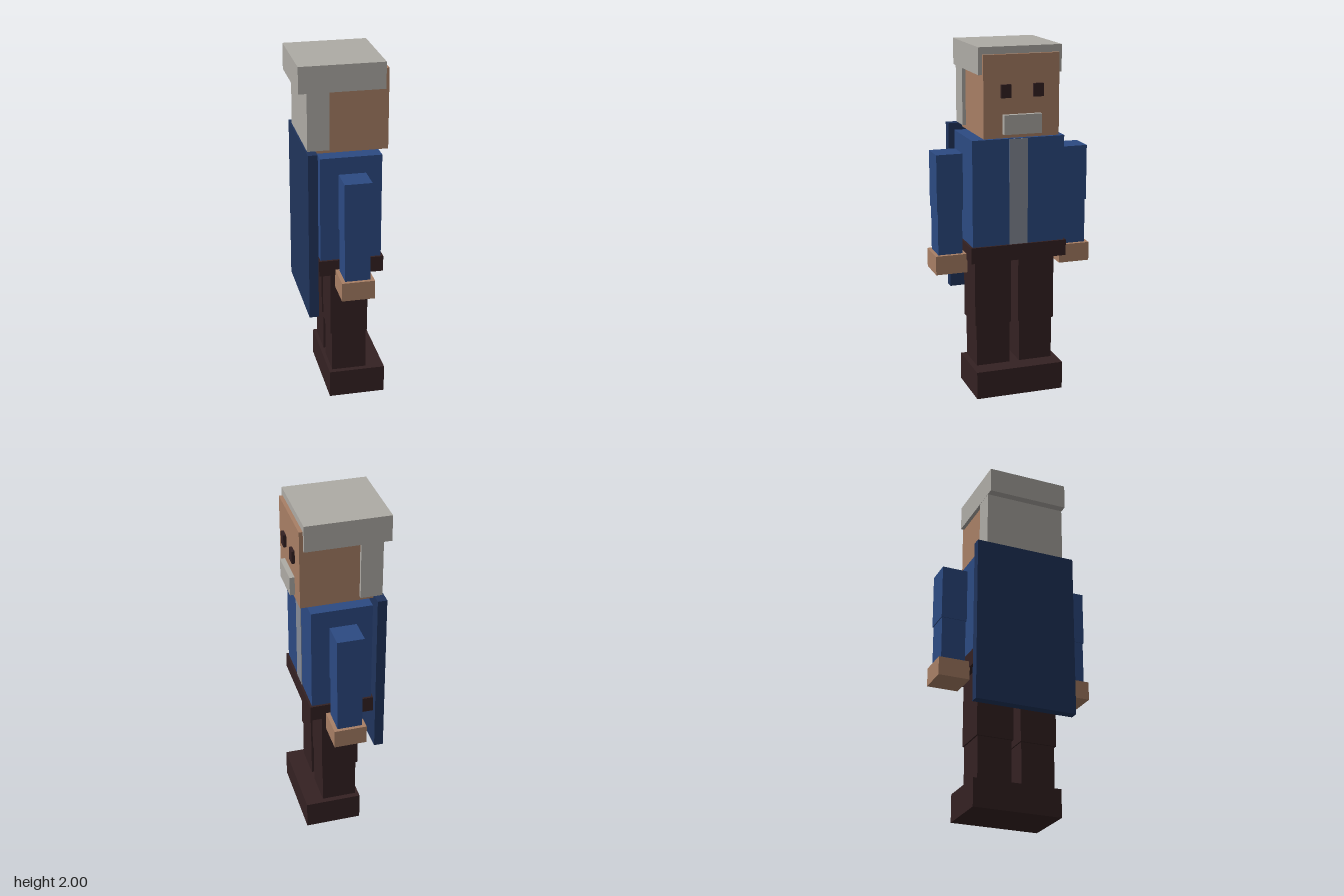
import * as THREE from 'three';

const paint = (name, color) => {
  const m = new THREE.MeshStandardMaterial({ color });
  m.name = name;
  return m;
};

export function createModel() {
  const blue = paint('blue cloth', 0x2c4a82);
  const navy = paint('navy cape', 0x20345c);
  const brown = paint('dark brown', 0x342122);
  const skin = paint('skin', 0xa87f65);
  const hair = paint('grey hair', 0xaeaba5);
  const shirt = paint('grey shirt', 0x868c98);

  const model = new THREE.Group();
  model.name = 'blockFigure';

  // Box given by its extents [min, max] along each axis
  const block = (name, mat, [x0, x1], [y0, y1], [z0, z1]) => {
    const mesh = new THREE.Mesh(new THREE.BoxGeometry(x1 - x0, y1 - y0, z1 - z0), mat);
    mesh.position.set((x0 + x1) / 2, (y0 + y1) / 2, (z0 + z1) / 2);
    mesh.name = name;
    model.add(mesh);
  };
  // Box centred on z = 0
  const centred = (name, mat, x, y, half) => block(name, mat, x, y, [-half, half]);
  // Two boxes mirrored across z = 0
  const pair = (name, mat, x, y, [z0, z1]) => {
    block(name + 'A', mat, x, y, [z0, z1]);
    block(name + 'B', mat, x, y, [-z1, -z0]);
  };

  // Head, face and hair (the figure looks along +x)
  centred('head', skin, [-0.2, 0.233], [1.508, 1.96], 0.216);
  centred('hairTop', hair, [-0.262, 0.212], [1.852, 2], 0.237);
  centred('hairBack', hair, [-0.217, -0.095], [1.53, 1.852], 0.236);
  centred('moustache', hair, [0.225, 0.261], [1.53, 1.637], 0.108);
  pair('eye', brown, [0.225, 0.25], [1.728, 1.8], [0.064, 0.121]);

  // Torso, shirt front, belt and cape
  centred('torso', blue, [-0.155, 0.188], [0.85, 1.494], 0.267);
  centred('shirtFront', shirt, [0.183, 0.191], [0.86, 1.492], 0.053);
  centred('belt', brown, [-0.165, 0.2], [0.802, 0.893], 0.28);
  centred('cape', navy, [-0.225, -0.172], [0.56, 1.53], 0.297);

  // Arms and hands
  pair('upperArm', blue, [-0.058, 0.093], [1.09, 1.408], [0.293, 0.443]);
  pair('forearm', blue, [-0.053, 0.088], [0.81, 1.09], [0.298, 0.438]);
  pair('hand', skin, [-0.074, 0.11], [0.729, 0.837], [0.276, 0.458]);

  // Legs and shoes
  pair('thigh', brown, [-0.092, 0.122], [0.407, 0.82], [0.022, 0.236]);
  pair('shin', brown, [-0.082, 0.117], [0.15, 0.407], [0.029, 0.227]);
  pair('shoe', brown, [-0.102, 0.222], [0, 0.161], [0, 0.258]);

  return model;
}
